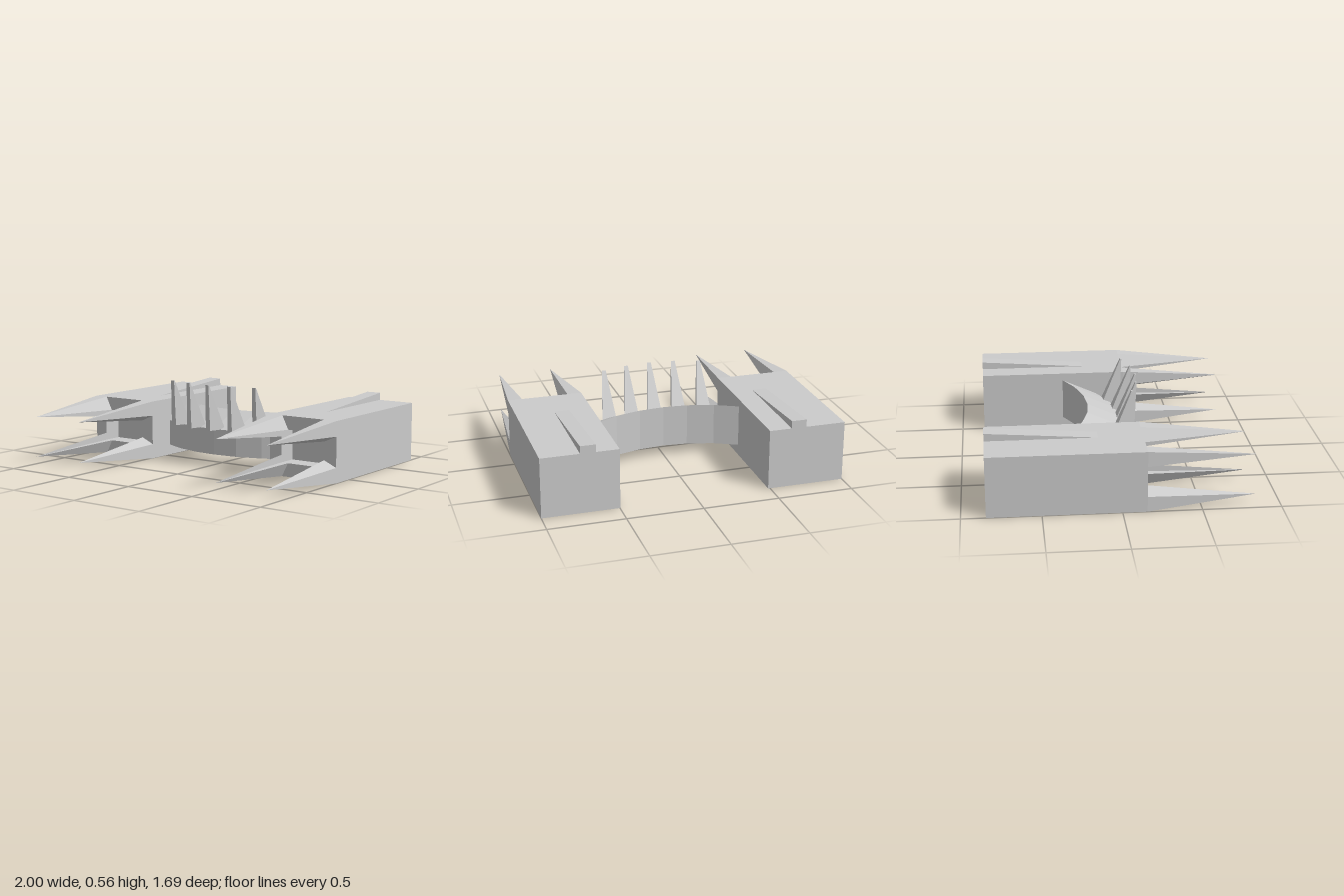
import * as THREE from 'three';

const material = new THREE.MeshStandardMaterial({ color: 0xcccccc, flatShading: true });

function mesh(name, geometry) {
  const m = new THREE.Mesh(geometry, material);
  m.name = name;
  return m;
}

// Skins rings of points (counter-clockwise seen from the far end), closing both ends.
function loft(rings, caps = true) {
  const out = [];
  const tri = (a, b, c) => out.push(...a, ...b, ...c);
  for (let r = 0; r < rings.length - 1; r++) {
    const a = rings[r], b = rings[r + 1], n = a.length;
    for (let i = 0; i < n; i++) {
      const j = (i + 1) % n;
      tri(a[i], a[j], b[j]);
      if (b[i] !== b[j]) tri(a[i], b[j], b[i]);
    }
  }
  if (caps) {
    const s = rings[0], e = rings[rings.length - 1];
    for (let i = 1; i < s.length - 1; i++) {
      tri(s[0], s[i + 1], s[i]);
      tri(e[0], e[i], e[i + 1]);
    }
  }
  const g = new THREE.BufferGeometry();
  g.setAttribute('position', new THREE.Float32BufferAttribute(out, 3));
  g.computeVertexNormals();
  return g;
}

const HEIGHT = 0.4, BACK = -0.845, FRONT = 0.155, RECESS = 0.13, RIM = 0.09;

// Prong base, measured inward from a corner of the front rim
const PRONG = [[0, 0], [0.095, 0], [0.14, RIM], [RIM, RIM], [RIM, 0.14], [0, 0.1]];

function cornerProng(cx, cy, sx, sy) {
  const base = PRONG.map(([u, v]) => [cx - sx * u, cy - sy * v, FRONT]);
  if (sx * sy < 0) base.reverse();
  const tip = [cx - sx * 0.065, cy - sy * 0.065, 0.845];
  return mesh('prong', loft([base, base.map(() => tip)], false));
}

function pod(name, x0, x1, railX) {
  const g = new THREE.Group();
  g.name = name;
  const w = x1 - x0, cx = (x0 + x1) / 2;

  // Solid body
  const length = FRONT - RECESS - BACK;
  const body = mesh('podBody', new THREE.BoxGeometry(w, HEIGHT, length));
  body.position.set(cx, HEIGHT / 2, BACK + length / 2);
  g.add(body);

  // Hollow front rim
  const rect = (Type, a, b, c, d) => new Type([
    new THREE.Vector2(a, b), new THREE.Vector2(c, b),
    new THREE.Vector2(c, d), new THREE.Vector2(a, d)]);
  const outline = rect(THREE.Shape, x0, 0, x1, HEIGHT);
  outline.holes.push(rect(THREE.Path, x0 + RIM, RIM, x1 - RIM, HEIGHT - RIM));
  const rim = mesh('podRim', new THREE.ExtrudeGeometry(outline, { depth: RECESS, bevelEnabled: false }));
  rim.position.z = FRONT - RECESS;
  g.add(rim);

  // Four prongs
  for (const sx of [-1, 1])
    for (const sy of [-1, 1])
      g.add(cornerProng(sx > 0 ? x1 : x0, sy > 0 ? HEIGHT : 0, sx, sy));

  // Tapered top rail
  const section = (z, y) => [
    [railX - 0.05, 0.38, z], [railX + 0.05, 0.38, z],
    [railX + 0.05, y, z], [railX - 0.05, y, z]];
  g.add(mesh('topRail', loft([section(BACK, 0.45), section(-0.13, HEIGHT)])));
  return g;
}

// Front edge of the curved bridge
const R = 0.957;
const arcZ = x => 0.095 - R + Math.sqrt(R * R - x * x);

function bridgeSpike(x) {
  const z = arcZ(x);
  const ring = (y, zf, wf, zb, wb) => [
    [x - wf, y, z + zf], [x + wf, y, z + zf],
    [x + wb, y, z + zb], [x - wb, y, z + zb]];
  return mesh('bridgeSpike', loft([
    ring(0.245, 0.08, 0.018, -0.045, 0.05),
    ring(0.555, 0.093, 0.013, 0.085, 0.013)]));
}

export function createModel() {
  const model = new THREE.Group();
  model.name = 'spikedTwinPods';
  model.add(pod('rightPod', -1, -0.487, -0.685), pod('leftPod', 0.497, 1, 0.697));

  // Curved bridge with a top sloping down to the front
  const sections = [-0.5, -0.335, -0.16, 0, 0.17, 0.345, 0.5].map(x => {
    const zf = arcZ(x), zb = zf - 0.235;
    return [[x, 0.07, zf], [x, 0.07, zb], [x, 0.35, zb], [x, 0.245, zf]];
  });
  model.add(mesh('bridge', loft(sections)));

  // Row of spikes along the bridge
  for (let i = -2; i <= 2; i++) model.add(bridgeSpike(0.008 + i * 0.168));
  return model;
}
